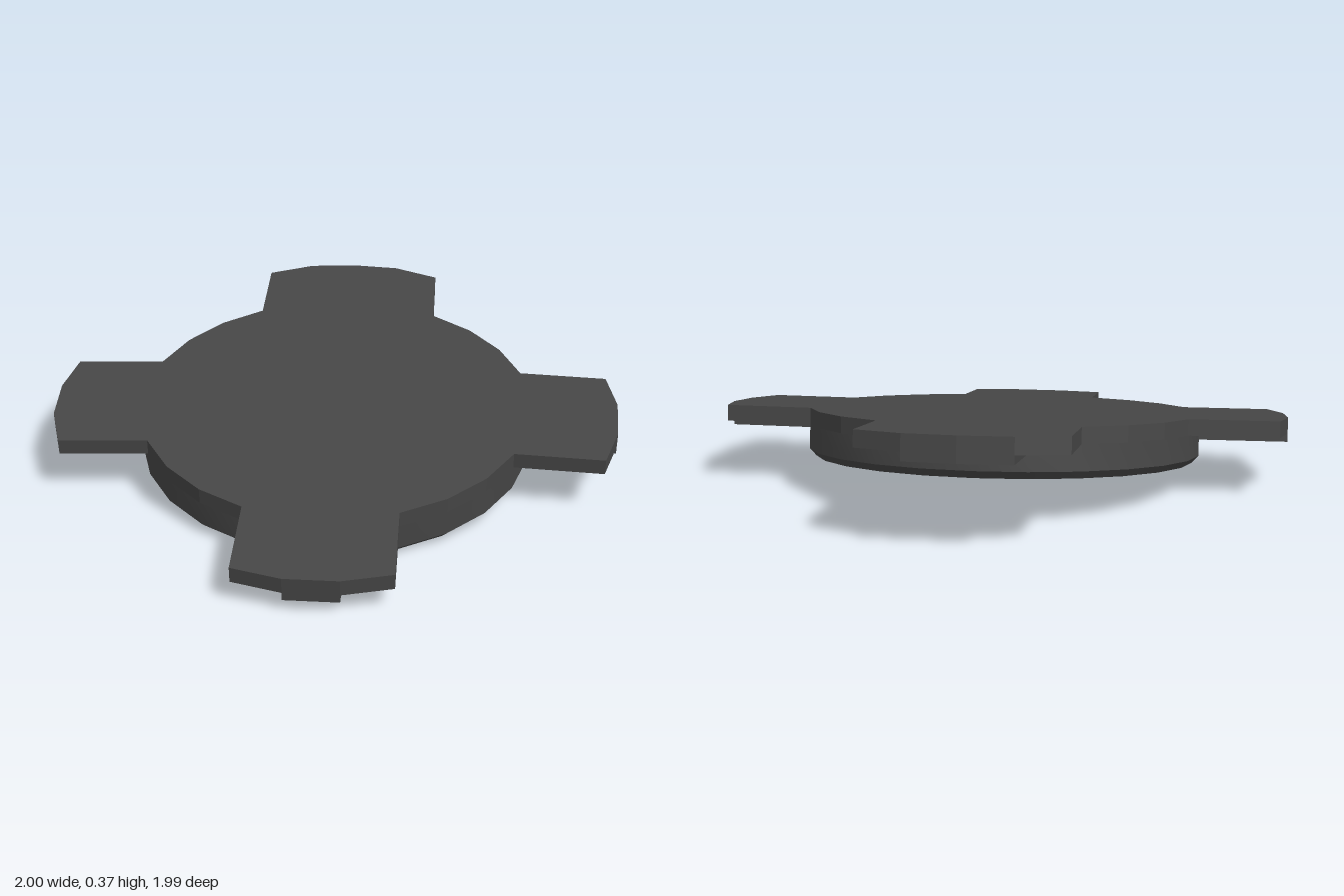
import * as THREE from 'three';
import { toCreasedNormals } from 'three/addons/utils/BufferGeometryUtils.js';

const material = new THREE.MeshStandardMaterial({ color: 0x464646 });
const DISC_R = 0.695, PLATE = 0.056, RIB = 0.029, TILT = THREE.MathUtils.degToRad(7);
const rad = THREE.MathUtils.degToRad;

// Lugs in angular order (0 = +x, 90 = front). tip: [sideways offset, radius] along the outer edge
const narrowTip = [[-0.256, 0.988], [-0.09, 1], [0.09, 1], [0.256, 0.988]];
const wideTip = [[-0.334, 0.975], [-0.172, 1], [0, 1], [0.172, 1], [0.334, 0.975]];
const lugs = [
  { name: 'leftLug', angle: rad(3.6), tip: narrowTip },
  { name: 'frontLug', angle: rad(90), tip: narrowTip },
  { name: 'rightLug', angle: rad(176.4), tip: narrowTip },
  { name: 'backLug', angle: rad(270), tip: wideTip },
];
const halfAngle = (lug) => Math.asin(lug.tip.at(-1)[0] / DISC_R);
const polar = (r, a) => new THREE.Vector2(r * Math.cos(a), r * Math.sin(a));
const tipPoints = (tip, angle) => tip.map(([s, r]) => polar(r, angle + Math.asin(s / r)));

// Flat slab hanging down from height y
function slab(name, points, depth, y) {
  const geo = new THREE.ExtrudeGeometry(new THREE.Shape(points), { depth, bevelEnabled: false });
  geo.rotateX(Math.PI / 2);
  const mesh = new THREE.Mesh(geo, material);
  mesh.name = name;
  mesh.position.y = y;
  return mesh;
}

// Drum lofted through rings of [radius, height] over the given corner angles
function drum(name, angles, rings) {
  const pos = [], index = [], n = angles.length;
  for (const [r, y] of rings) {
    for (const a of angles) pos.push(r * Math.cos(a), y, r * Math.sin(a));
  }
  for (let k = 0; k < rings.length - 1; k++) {
    for (let i = 0; i < n; i++) {
      const p = k * n + i, q = k * n + (i + 1) % n;
      index.push(p, q, p + n);
      if (rings[k + 1][0] > 0) index.push(q, q + n, p + n);
    }
  }
  const geo = new THREE.BufferGeometry();
  geo.setAttribute('position', new THREE.Float32BufferAttribute(pos, 3));
  geo.setIndex(index);
  const mesh = new THREE.Mesh(toCreasedNormals(geo, rad(25)), material);
  mesh.name = name;
  return mesh;
}

export function createModel() {
  const plug = new THREE.Group();
  plug.name = 'tiltedCap';

  // Walk round the rim: lug tip, then three facets of disc edge to the next lug
  const outline = [], angles = [];
  lugs.forEach((lug, i) => {
    const next = lugs[(i + 1) % lugs.length];
    const half = halfAngle(lug), segs = lug.tip.length - 1;
    for (let k = 0; k < segs; k++) angles.push(lug.angle - half + (2 * half * k) / segs);
    outline.push(...tipPoints(lug.tip, lug.angle));
    const start = lug.angle + half;
    const end = next.angle - halfAngle(next) + (i === lugs.length - 1 ? 2 * Math.PI : 0);
    for (let k = 0; k <= 3; k++) {
      const a = start + ((end - start) * k) / 3;
      outline.push(polar(DISC_R, a));
      if (k < 3) angles.push(a);
    }
  });

  // Top plate with its four lugs
  plug.add(slab('topPlate', outline, PLATE, 0));

  // Raised rib under the middle of each lug
  for (const lug of lugs) {
    const mid = lug.tip.slice(1, -1);
    const w = mid.at(-1)[0], r = 0.6;
    const inner = [[w, r], [-w, r]];
    plug.add(slab(lug.name + 'Rib', tipPoints([...mid, ...inner], lug.angle), RIB, -PLATE));
  }

  // Round body with a small chamfer and a recessed underside
  plug.add(drum('body', angles, [
    [DISC_R, -PLATE], [DISC_R, -0.143], [0.672, -0.168], [0.662, -0.168], [0.65, -0.152], [0, -0.152],
  ]));

  // Lean the whole cap towards the front
  plug.rotation.x = TILT;
  plug.position.set(0, 0.248, 0.006);

  const model = new THREE.Group();
  model.name = 'cap';
  model.add(plug);
  return model;
}
